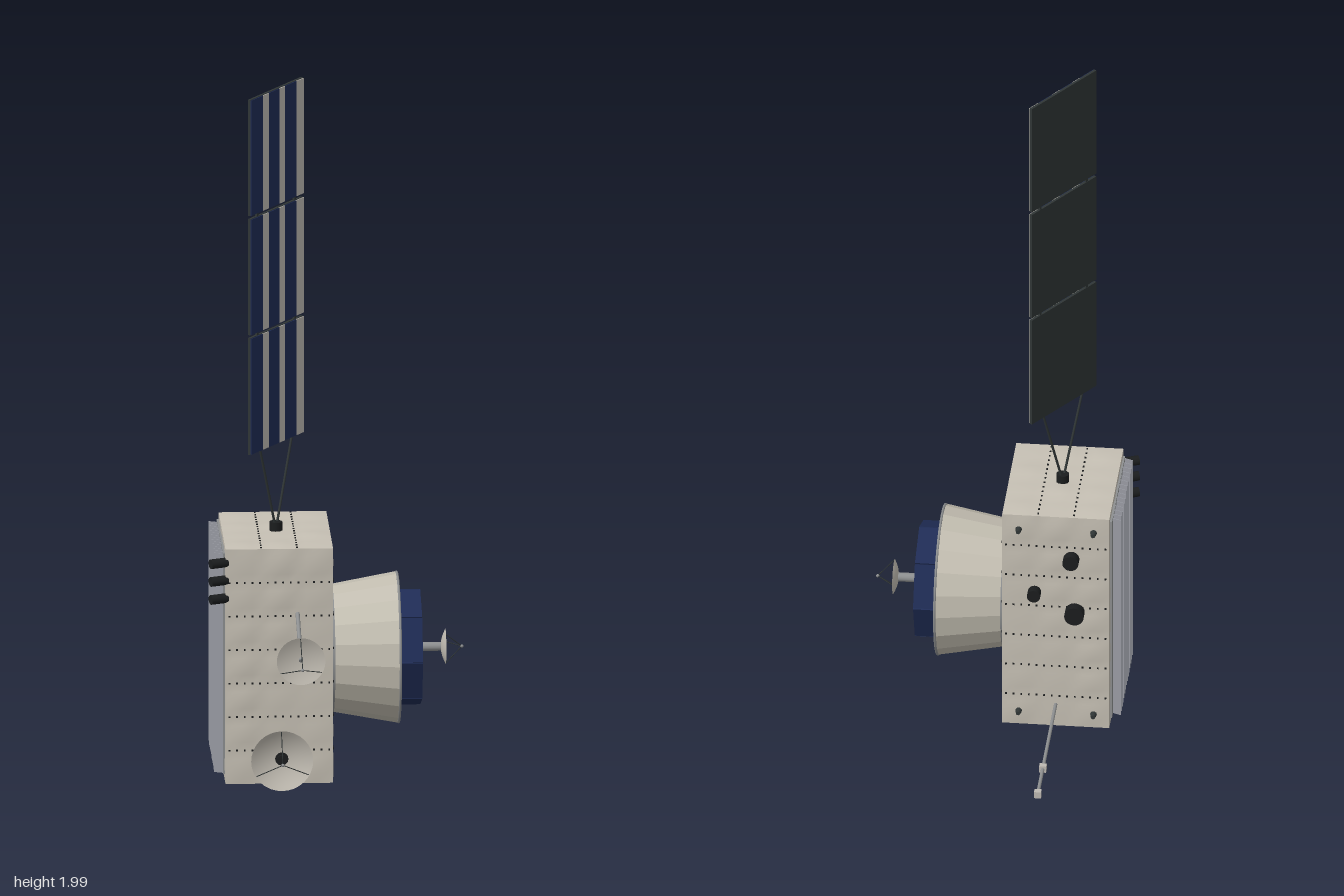
import * as THREE from 'three';
import { mergeGeometries } from 'three/addons/utils/BufferGeometryUtils.js';

const V = (x, y, z) => new THREE.Vector3(x, y, z);
const UP = V(0, 1, 0);

function mat(name, color, extra = {}) {
  const m = new THREE.MeshStandardMaterial({ color, ...extra });
  m.name = name;
  return m;
}

export function createModel() {
  const M = {
    foil: mat('foil blanket', 0xc6c0b4),
    shell: mat('shell', 0xc2bdb0, { side: THREE.DoubleSide, flatShading: true }),
    dish: mat('dish', 0xbfbab0, { side: THREE.DoubleSide }),
    cell: mat('solar cell', 0x1f2c55),
    strip: mat('cell strip', 0xbdb9b2),
    backing: mat('panel backing', 0x2f3535),
    black: mat('black fittings', 0x1b1d1e),
    metal: mat('metal', 0x8d8f90),
    slat: mat('radiator slat', 0x989aa2, { side: THREE.DoubleSide }),
  };
  const model = new THREE.Group();
  model.name = 'satellite';

  const add = (name, geo, material, parent = model) => {
    const mesh = new THREE.Mesh(geo, material);
    mesh.name = name;
    parent.add(mesh);
    return mesh;
  };
  const boxAt = (w, h, d, x, y, z) => new THREE.BoxGeometry(w, h, d).translate(x, y, z);
  // Cylinder running from point a to point b
  const rod = (a, b, r0, r1 = r0, sides = 12) => {
    const dir = b.clone().sub(a);
    const g = new THREE.CylinderGeometry(r1, r0, dir.length(), sides);
    g.applyQuaternion(new THREE.Quaternion().setFromUnitVectors(UP, dir.normalize()));
    const c = a.clone().add(b).multiplyScalar(0.5);
    return g.translate(c.x, c.y, c.z);
  };

  // Quilted body: a fine box whose faces are gently pillowed
  const BW = 0.305, BH = 0.69, BD = 0.39, C = V(-0.167, 0.355, 0.1);
  const body = new THREE.BoxGeometry(BW, BH, BD, 12, 28, 16);
  const p = body.attributes.position, n = body.attributes.normal;
  const dims = [BW, BH, BD], tiles = [3, 7, 4];
  for (let i = 0; i < p.count; i++) {
    const pos = [p.getX(i), p.getY(i), p.getZ(i)];
    const nor = [n.getX(i), n.getY(i), n.getZ(i)];
    let puff = 0.005, id = 0;
    for (let k = 0; k < 3; k++) {
      if (Math.abs(nor[k]) > 0.5) continue;
      const t = (pos[k] / dims[k] + 0.5) * tiles[k];
      puff *= Math.abs(Math.sin(Math.PI * t));
      id += Math.floor(t) * (k + 2);
    }
    puff *= 0.6 + 0.4 * Math.sin(id * 2.3);
    p.setXYZ(i, ...pos.map((v, k) => v + nor[k] * puff));
  }
  body.computeVertexNormals();
  add('body', body, M.foil).position.copy(C);

  // Rows of stitches across the blanket seams
  const stitches = [];
  const s = 0.005;
  for (let row = 1; row < 7; row++) {
    const y = 0.01 + (BH * row) / 7;
    for (let i = 0; i < 14; i++) {
      const x = C.x + BW * ((i + 0.5) / 14 - 0.5);
      for (const side of [-1, 1]) stitches.push(boxAt(s, s, s, x, y, C.z + side * BD / 2));
    }
    for (let i = 0; i < 18; i++)
      stitches.push(boxAt(s, s, s, C.x + BW / 2, y, C.z + BD * ((i + 0.5) / 18 - 0.5)));
  }
  for (let i = 0; i < 36; i++)
    stitches.push(boxAt(s, 0.008, s, C.x + BW / 2, 0.02 + 0.67 * (i + 0.5) / 36, -0.05));
  for (const y of [0.01, 0.7])
    for (const u of [-1 / 6, 1 / 6])
      for (let i = 0; i < 16; i++)
        stitches.push(boxAt(s, s, s, C.x + BW * u, y, C.z + BD * ((i + 0.5) / 16 - 0.5)));
  add('seamStitches', mergeGeometries(stitches), M.black);

  // Radiator of slanted vertical slats on the right side
  add('radiatorBase', boxAt(0.008, 0.65, 0.36, -0.322, 0.36, 0.1), M.metal);
  const slats = [];
  for (let i = 0; i < 15; i++)
    slats.push(new THREE.BoxGeometry(0.03, 0.645, 0.002).rotateY(-0.4)
      .translate(-0.336, 0.36, -0.06 + i * 0.0235));
  add('radiatorSlats', mergeGeometries(slats), M.slat);

  // Three sensor barrels at the upper right edge
  for (const y of [0.555, 0.608, 0.66])
    add('sensorBarrel', rod(V(-0.315, y, 0.285), V(-0.362, y, 0.304), 0.014), M.black);

  // Flared engine skirt and rim, along +x
  const axis = V(0, 0.353, 0.103);
  const skirt = new THREE.Group();
  skirt.name = 'engineSection';
  skirt.position.copy(axis);
  skirt.rotation.z = -Math.PI / 2;
  model.add(skirt);
  add('flaredSkirt', new THREE.LatheGeometry(
    [[0.18, -0.016], [0.215, 0.176], [0.207, 0.176], [0.173, 0.0]].map(q => new THREE.Vector2(...q)), 20),
    M.shell, skirt);
  add('skirtRim', new THREE.TorusGeometry(0.213, 0.004, 6, 40).rotateX(Math.PI / 2).translate(0, 0.177, 0),
    M.metal, skirt);
  add('skirtCollar', new THREE.CylinderGeometry(0.183, 0.183, 0.012, 40).translate(0, -0.013, 0), M.metal, skirt);

  // Eight-sided drum with solar plates
  add('octagonDrum', new THREE.CylinderGeometry(0.16, 0.16, 0.25, 8).translate(0, 0.112, 0), M.shell, skirt);
  const plates = [];
  for (let i = 0; i < 8; i++)
    plates.push(new THREE.BoxGeometry(0.126, 0.17, 0.009).translate(0, 0.157, 0.1525)
      .rotateY((i + 0.5) * Math.PI / 4));
  add('drumSolarPlates', mergeGeometries(plates), M.cell, skirt);

  // Dish with three struts meeting at a feed point; opens along dir
  const dish = (name, at, dir, r, depth, tip) => {
    const g = new THREE.Group();
    g.name = name;
    g.position.copy(at);
    g.quaternion.setFromUnitVectors(UP, dir);
    const pts = [];
    for (let i = 0; i <= 8; i++) pts.push(new THREE.Vector2((r * i) / 8, depth * (i / 8) ** 2));
    add('reflector', new THREE.LatheGeometry(pts, 32), M.dish, g);
    const struts = [];
    for (let i = 0; i < 3; i++) {
      const a = (i * 2 * Math.PI) / 3 + 0.5;
      struts.push(rod(V(r * 0.97 * Math.cos(a), depth, r * 0.97 * Math.sin(a)), V(0, tip, 0), 0.0013, 0.0013, 5));
    }
    add('feedStruts', mergeGeometries(struts), M.backing, g);
    add('feed', new THREE.SphereGeometry(0.005, 8, 6).translate(0, tip, 0), M.metal, g);
    model.add(g);
    return g;
  };
  const X = V(1, 0, 0), Z = V(0, 0, 1);
  add('endMast', rod(V(0.235, axis.y, axis.z), V(0.302, axis.y, axis.z), 0.013), M.metal);
  dish('endDish', V(0.3, axis.y, axis.z), X, 0.05, 0.014, 0.06);

  add('lowerArm', rod(V(-0.167, 0.123, 0.29), V(-0.167, 0.123, 0.41), 0.011), M.metal);
  add('lowerJoint', rod(V(-0.167, 0.123, 0.405), V(-0.167, 0.123, 0.442), 0.019), M.black);
  const lower = dish('lowerDish', V(-0.167, 0.123, 0.437), Z, 0.088, 0.027, 0.07);
  add('dishHub', new THREE.CylinderGeometry(0.013, 0.013, 0.012, 12).translate(0, 0.008, 0), M.black, lower);

  add('upperArm', rod(V(-0.115, 0.51, 0.29), V(-0.115, 0.425, 0.49), 0.006), M.metal);
  dish('upperDish', V(-0.115, 0.425, 0.485), Z, 0.069, 0.014, 0.105);

  // Long boom with two blocks at the back
  add('boom', rod(V(-0.167, 0.08, -0.09), V(-0.167, 0.08, -0.585), 0.005), M.metal);
  for (const z of [-0.445, -0.586]) add('boomBlock', boxAt(0.02, 0.02, 0.018, -0.167, 0.08, z), M.strip);

  // Round thruster caps and corner nozzles at the back
  for (const [x, y, r] of [[-0.212, 0.565, 0.023], [-0.107, 0.45, 0.019], [-0.222, 0.39, 0.028]])
    add('thrusterCap', rod(V(x, y, -0.09), V(x, y, -0.125), r, r, 20), M.black);
  for (const x of [-0.275, -0.062])
    for (const y of [0.055, 0.655])
      add('cornerNozzle', rod(V(x, y, -0.09), V(x, y, -0.116), 0.011, 0.006), M.backing);

  // Solar wing, turned about its vertical axis
  const wing = new THREE.Group();
  wing.name = 'solarWing';
  wing.position.set(C.x, 0, C.z);
  wing.rotation.y = 0.963;
  model.add(wing);
  add('wingMount', rod(V(0, 0.695, 0), V(0, 0.726, 0), 0.018), M.black, wing);
  const W = 0.28, edges = [0, 0.22, 0.33, 0.53, 0.64, 0.86, 1];
  for (const side of [-1, 1])
    add('wingStrut', rod(V(side * 0.006, 0.72, 0), V(side * 0.085, 0.958, 0), 0.0035), M.backing, wing);
  for (const [y0, y1] of [[0.955, 1.299], [1.307, 1.649], [1.658, 2]]) {
    const h = y1 - y0, y = (y0 + y1) / 2;
    add('panelBacking', boxAt(W, h, 0.008, 0, y, -0.001), M.backing, wing);
    for (let i = 0; i < 6; i++) {
      const w = (edges[i + 1] - edges[i]) * W;
      add(i % 2 ? 'cellStrip' : 'solarCells',
        boxAt(w, h - 0.003, 0.003, edges[i] * W - W / 2 + w / 2, y, 0.0045), i % 2 ? M.strip : M.cell, wing);
    }
  }
  for (const y of [1.303, 1.6535])
    for (const x of [-0.1, 0.1]) add('panelHinge', boxAt(0.008, 0.014, 0.006, x, y, -0.001), M.backing, wing);

  return model;
}
